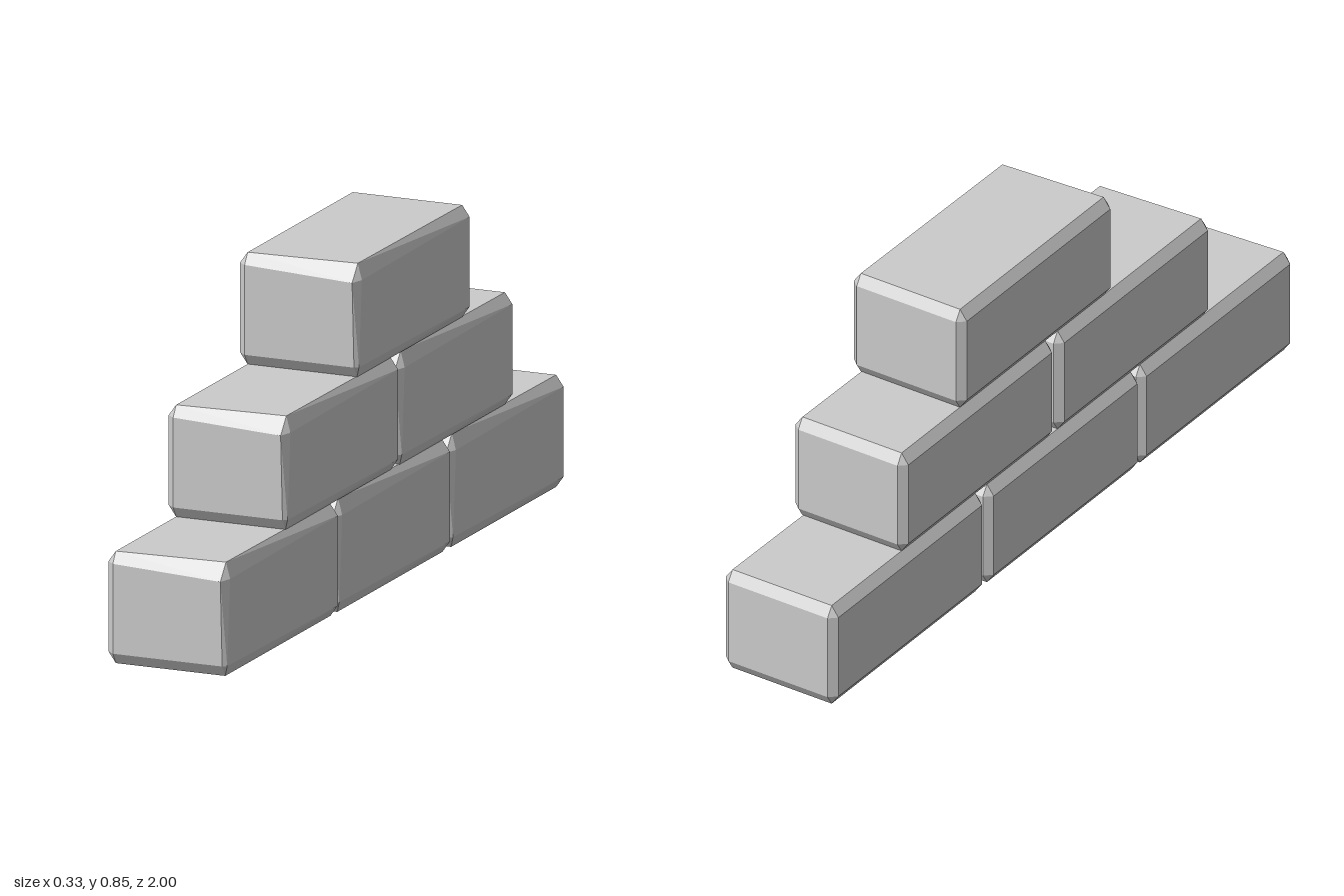
import * as THREE from 'three';
import { ConvexGeometry } from 'three/addons/geometries/ConvexGeometry.js';

const W = 0.167, H = 0.284, L = 0.33; // half width, height, half length
const CX = 0.02, CY = 0.028, CZ = 0.018; // chamfer insets

// Chamfered block: every corner gives one point to each of its three faces.
// The front left edge is worn back, most of all at its top.
function brickGeometry() {
  const points = [];
  for (const sx of [-1, 1]) for (const sy of [-1, 1]) for (const sz of [-1, 1]) {
    const worn = sx > 0 && sz > 0;
    const wornTop = worn && sy > 0;
    const x = worn ? 0.157 : W;
    const innerX = wornTop ? 0.142 : W - CX;
    const innerZ = wornTop ? 0.305 : worn ? 0.322 : L - CZ;
    const y = sy > 0 ? H : 0;
    const drop = sy * CY;
    points.push(
      new THREE.Vector3(sx * x, y - drop - (wornTop ? 0.011 : 0), sz * innerZ), // side face
      new THREE.Vector3(sx * innerX, y, sz * (wornTop ? 0.296 : L - CZ)), // top or bottom face
      new THREE.Vector3(sx * innerX, y - drop - (wornTop ? 0.014 : 0), sz * L) // end face
    );
  }
  return new ConvexGeometry(points);
}

export function createModel() {
  const wall = new THREE.Group();
  wall.name = 'brickPyramid';
  const geometry = brickGeometry();
  const material = new THREE.MeshStandardMaterial({ color: 0xcccccc, flatShading: true });

  // Brick centres along z, from the bottom course up
  const courses = [[0.67, 0.005, -0.67], [0.312, -0.366], [-0.112]];
  courses.forEach((centres, row) => {
    const course = new THREE.Group();
    course.name = `course${row + 1}`;
    course.position.y = row * 0.2835;
    centres.forEach((z, i) => {
      const brick = new THREE.Mesh(geometry, material);
      brick.name = `brick${i + 1}`;
      brick.position.z = z;
      course.add(brick);
    });
    wall.add(course);
  });
  return wall;
}
